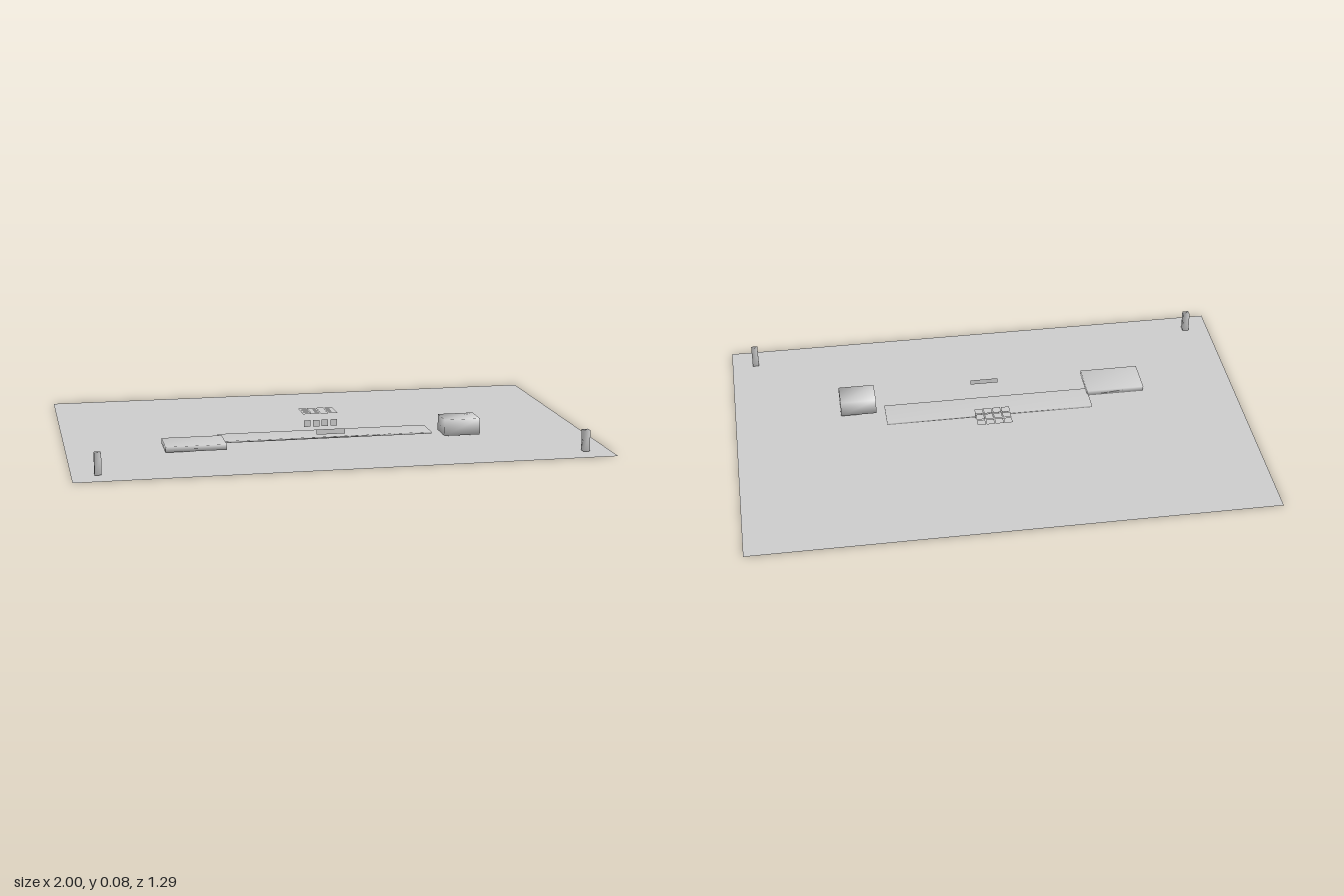
import * as THREE from 'three';
import { mergeVertices } from 'three/addons/utils/BufferGeometryUtils.js';

export function createModel() {
  const model = new THREE.Group();
  model.name = 'siteModel';
  const grey = new THREE.MeshStandardMaterial({ color: 0xcccccc, side: THREE.DoubleSide });
  grey.name = 'plain grey';

  function add(name, geometry, x, y, z, parent = model) {
    const mesh = new THREE.Mesh(geometry, grey);
    mesh.name = name;
    mesh.position.set(x, y, z);
    parent.add(mesh);
    return mesh;
  }

  // Box given by its limits, with corners shared so the shading runs smoothly across edges
  function block(name, [x0, x1], [y0, y1], [z0, z1]) {
    let g = new THREE.BoxGeometry(x1 - x0, y1 - y0, z1 - z0);
    g.deleteAttribute('normal');
    g.deleteAttribute('uv');
    g = mergeVertices(g);
    g.computeVertexNormals();
    return add(name, g, (x0 + x1) / 2, (y0 + y1) / 2, (z0 + z1) / 2);
  }

  // Ground sheet and the faint footprint lying on it
  const flat = (w, d) => new THREE.PlaneGeometry(w, d).rotateX(-Math.PI / 2);
  add('ground', flat(2, 1.29), 0, 0, 0);
  add('footprint', flat(1.19, 0.23), -0.01, 0.001, -0.05);

  // Low buildings
  block('longHall', [-0.41, 0.41], [0.003, 0.01], [0.06, 0.18]);
  block('rightWing', [-0.635, -0.405], [0.003, 0.024], [0.14, 0.285]);
  block('leftWing', [0.445, 0.585], [0.007, 0.07], [0.14, 0.245]);

  // Gate posts at the front corners
  for (const side of [-1, 1]) {
    const x = side * 0.905;
    block('gatePost', [x - 0.0125, x + 0.0125], [0.003, 0.083], [0.54, 0.566]);
  }

  // Sign panel standing before the hall
  add('signPanel', new THREE.PlaneGeometry(0.11, 0.02), 0, 0.044, 0.24);

  // Row of upright windows and a flat grid of roof panes above them
  const windows = new THREE.Group();
  windows.name = 'windowRow';
  const skylight = new THREE.Group();
  skylight.name = 'skylight';
  model.add(windows, skylight);
  const pane = new THREE.PlaneGeometry(0.026, 0.026);
  const roofPane = flat(0.032, 0.032);
  for (let i = 0; i < 4; i++) {
    const x = (i - 1.5) * 0.035;
    add('window', pane, x, 0.03, 0.035, windows);
    for (let j = 0; j < 3; j++) add('roofPane', roofPane, x, 0.066, -0.024 + (j - 1) * 0.036, skylight);
  }
  return model;
}
